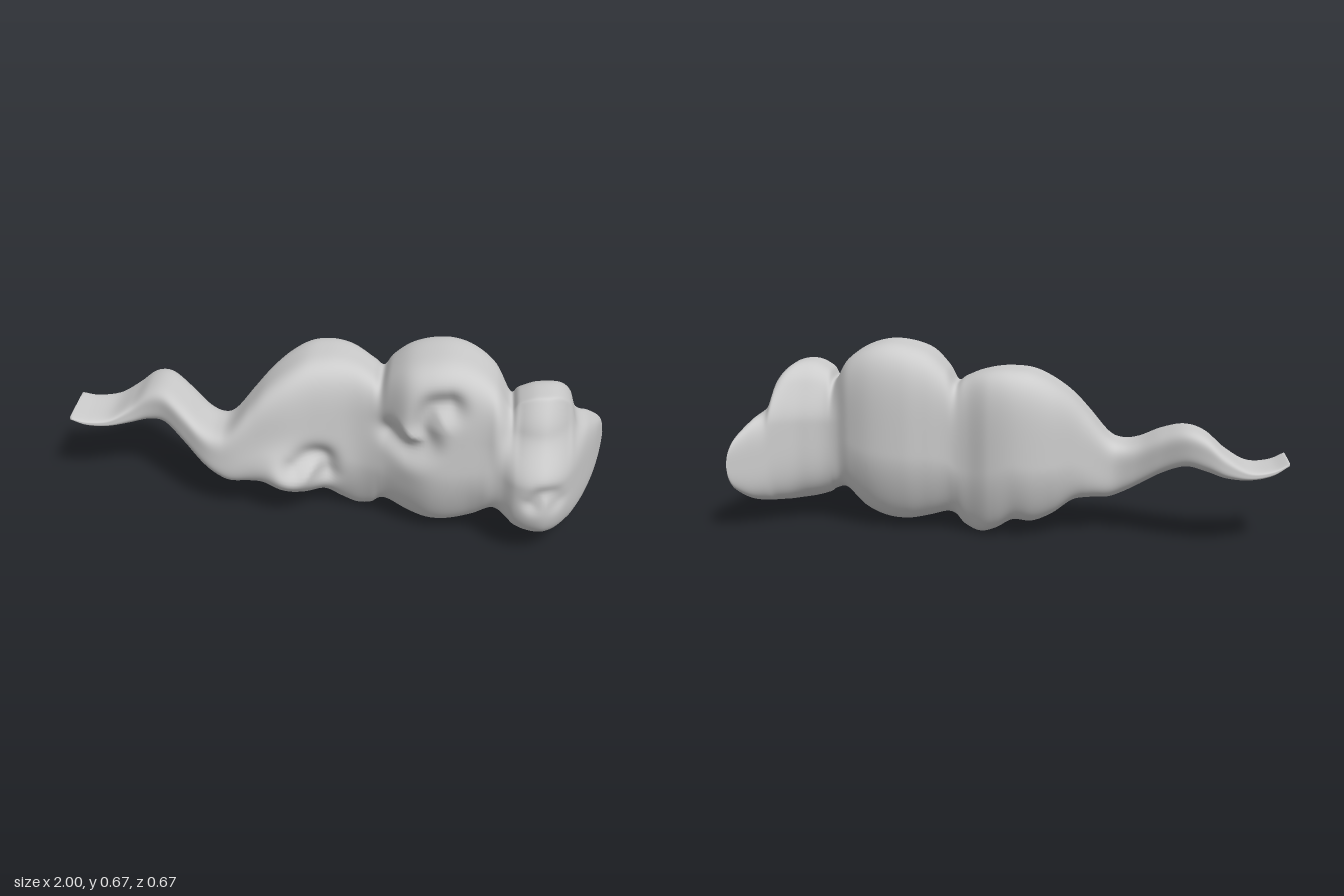
import * as THREE from 'three';

// Side outline: [x, top, bottom]
const OUTLINE = [
  [-1, 0.292, 0.28], [-0.94, 0.272, 0.248], [-0.86, 0.275, 0.236], [-0.78, 0.325, 0.242],
  [-0.71, 0.385, 0.262], [-0.64, 0.402, 0.272], [-0.56, 0.375, 0.235], [-0.48, 0.332, 0.18],
  [-0.42, 0.322, 0.143], [-0.37, 0.345, 0.123], [-0.3, 0.43, 0.122], [-0.24, 0.497, 0.115],
  [-0.17, 0.552, 0.072], [-0.1, 0.588, 0.048], [-0.03, 0.598, 0.053], [0.03, 0.595, 0.02],
  [0.09, 0.58, 0.002], [0.145, 0.555, 0.02], [0.18, 0.537, 0.054], [0.215, 0.588, 0.06],
  [0.28, 0.643, 0.04], [0.36, 0.67, 0.025], [0.44, 0.675, 0.032], [0.52, 0.652, 0.065],
  [0.59, 0.603, 0.125], [0.64, 0.528, 0.115], [0.67, 0.56, 0.095], [0.73, 0.587, 0.077],
  [0.8, 0.58, 0.07], [0.85, 0.53, 0.075], [0.88, 0.435, 0.08], [0.93, 0.392, 0.1],
  [0.975, 0.34, 0.145], [0.994, 0.295, 0.19], [1, 0.252, 0.24],
];

// Depth of the ribbon-like body: [x, back, front]
const DEPTH = [
  [-1, -0.26, -0.045], [-0.87, -0.315, -0.075], [-0.76, -0.335, -0.092], [-0.66, -0.305, -0.06],
  [-0.55, -0.225, 0.03], [-0.46, -0.165, 0.095], [-0.38, -0.14, 0.115], [-0.28, -0.175, 0.11],
  [-0.17, -0.255, 0.1], [-0.06, -0.285, 0.075], [0.05, -0.265, 0.06], [0.13, -0.215, 0.075],
  [0.19, -0.195, 0.11], [0.28, -0.198, 0.205], [0.36, -0.2, 0.23], [0.48, -0.175, 0.23],
  [0.57, -0.125, 0.237], [0.62, -0.08, 0.265], [0.67, -0.064, 0.315], [0.73, -0.07, 0.338],
  [0.78, -0.08, 0.328], [0.84, -0.115, 0.26], [0.9, -0.15, 0.13], [0.96, -0.19, -0.04],
  [1, -0.214, -0.2],
];

// Soft curling grooves on the front face
const GROOVES = [
  { depth: 0.05, width: 0.045, path: [[-0.13, 0.21], [-0.08, 0.24], [-0.03, 0.23], [-0.02, 0.18]] },
  { depth: 0.05, width: 0.048, path: [[0.23, 0.385], [0.29, 0.36], [0.35, 0.39], [0.34, 0.46], [0.37, 0.53], [0.43, 0.545]] },
  { depth: 0.022, width: 0.032, path: [[0.73, 0.24], [0.76, 0.28], [0.8, 0.27], [0.82, 0.23]] },
].map((g) => ({
  ...g,
  points: new THREE.SplineCurve(g.path.map((p) => new THREE.Vector2(...p))).getPoints(40),
}));

const smooth = THREE.MathUtils.smoothstep;

// Smooth interpolation of a depth column by x
function depthAt(x, column) {
  let i = 0;
  while (i < DEPTH.length - 2 && x > DEPTH[i + 1][0]) i++;
  const slope = (k) => {
    const a = DEPTH[Math.max(k - 1, 0)], b = DEPTH[Math.min(k + 1, DEPTH.length - 1)];
    return (b[column] - a[column]) / (b[0] - a[0]);
  };
  const h = DEPTH[i + 1][0] - DEPTH[i][0];
  const t = (x - DEPTH[i][0]) / h, t2 = t * t, t3 = t2 * t;
  return DEPTH[i][column] * (2 * t3 - 3 * t2 + 1) + slope(i) * h * (t3 - 2 * t2 + t)
    + DEPTH[i + 1][column] * (3 * t2 - 2 * t3) + slope(i + 1) * h * (t3 - t2);
}

// Relief of the front face: grooves cut in, a lobe curling out
function relief(x, y) {
  let z = 0.085 * Math.exp(-(((x + 0.14) / 0.12) ** 2) - ((y - 0.16) / 0.09) ** 2);
  for (const g of GROOVES) {
    let d2 = Infinity;
    for (const p of g.points) d2 = Math.min(d2, (p.x - x) ** 2 + (p.y - y) ** 2);
    z -= g.depth * Math.exp(-d2 / (g.width * g.width));
  }
  return z;
}

// Loft of rounded-box sections along x
function cloudGeometry(rings = 230, sides = 144) {
  const outline = new THREE.CatmullRomCurve3(
    OUTLINE.map((p) => new THREE.Vector3(...p)), false, 'catmullrom', 0.5);
  const positions = [], index = [];
  for (let i = 0; i <= rings; i++) {
    const { x, y: top, z: bottom } = outline.getPoint(i / rings);
    const back = depthAt(x, 1), front = depthAt(x, 2);
    // the lower front runs more evenly from lobe to lobe
    const even = smooth(x, -0.1, 0.05) * (1 - smooth(x, 0.55, 0.65));
    const lowShift = even * ((depthAt(x - 0.08, 2) + front + depthAt(x + 0.08, 2)) / 3 - front);
    const n = 4 - 0.6 * smooth(x, 0.58, 0.76);
    // the main body narrows towards its underside
    const narrowing = 0.18 * smooth(x, -0.35, -0.15) * (1 - smooth(x, 0.5, 0.65));
    const head = smooth(x, 0.58, 0.68) * (1 - smooth(x, 0.84, 0.92));
    for (let j = 0; j < sides; j++) {
      const a = (j / sides) * Math.PI * 2, c = Math.cos(a), s = Math.sin(a);
      const r = (Math.abs(c) ** n + Math.abs(s) ** n) ** (-1 / n);
      const y = (top + bottom) / 2 + r * s * (top - bottom) / 2;
      const width = 1 - narrowing * smooth(-r * s, 0.2, 1);
      let z = (front + back) / 2 + r * c * width * (front - back) / 2;
      const facing = smooth(r * c, 0.1, 0.9);
      // the upper lobe of the head is narrower than the lower one
      z -= facing * head * 0.085 * smooth(y, 0.3, 0.47);
      z += smooth(-r * c, 0, 0.8) * head * 0.025 * smooth(y, 0.38, 0.52);
      z += facing * lowShift * (1 - smooth(y, 0.2, 0.42));
      if (facing > 0 && x > -0.5) z += facing * relief(x, y);
      positions.push(x, y, z);
    }
  }
  for (let i = 0; i < rings; i++) {
    for (let j = 0; j < sides; j++) {
      const k = (j + 1) % sides;
      const a = i * sides + j, b = i * sides + k, c = a + sides, d = b + sides;
      index.push(a, c, b, b, c, d);
    }
  }
  // end caps
  [0, rings].forEach((ring) => {
    const [x, top, bottom] = OUTLINE[ring ? OUTLINE.length - 1 : 0];
    const centre = positions.length / 3;
    positions.push(x, (top + bottom) / 2, (depthAt(x, 1) + depthAt(x, 2)) / 2);
    for (let j = 0; j < sides; j++) {
      const a = ring * sides + j, b = ring * sides + (j + 1) % sides;
      if (ring) index.push(centre, b, a); else index.push(centre, a, b);
    }
  });
  const geometry = new THREE.BufferGeometry();
  geometry.setAttribute('position', new THREE.Float32BufferAttribute(positions, 3));
  geometry.setIndex(index);
  geometry.computeVertexNormals();
  return geometry;
}

export function createModel() {
  const group = new THREE.Group();
  group.name = 'cloud';
  const body = new THREE.Mesh(cloudGeometry(), new THREE.MeshStandardMaterial({ color: 0xcccccc }));
  body.name = 'cloudBody';
  group.add(body);
  return group;
}
